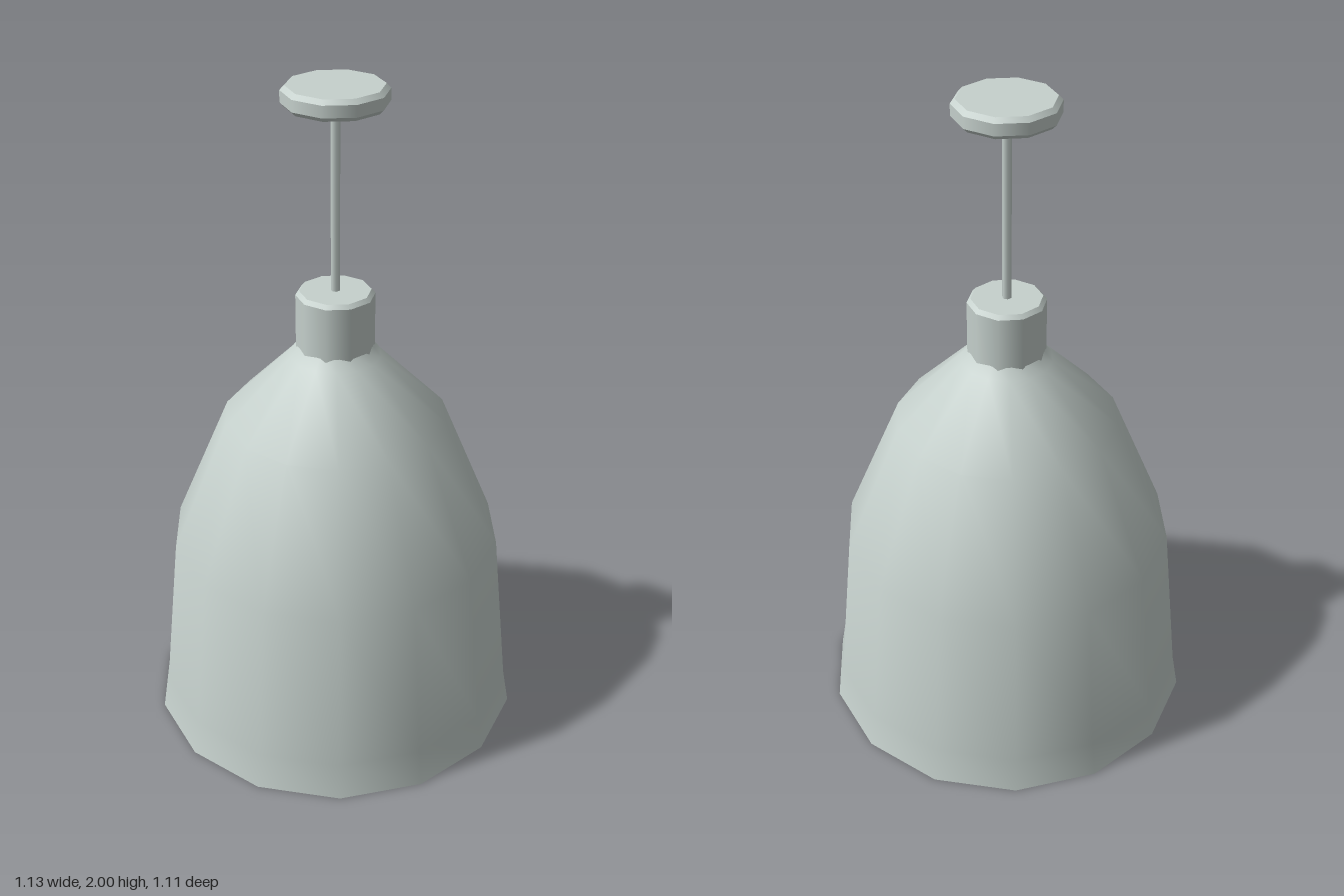
import * as THREE from 'three';

export function createModel() {
  const model = new THREE.Group();
  const metal = new THREE.MeshStandardMaterial({ color: 0xc6d1cd, side: THREE.DoubleSide });
  metal.name = 'paleGreyMetal';
  const bulbGlass = new THREE.MeshStandardMaterial({ color: 0xe0b090 });
  bulbGlass.name = 'warmBulb';

  // Revolve a bottom-to-top [radius, y] profile, with a corner on the x axis
  const lathe = (profile, sides) => new THREE.LatheGeometry(
    profile.map(([r, y]) => new THREE.Vector2(r, y)), sides, Math.PI / 2);

  const add = (parent, name, geometry, material = metal) => {
    const mesh = new THREE.Mesh(geometry, material);
    mesh.name = name;
    parent.add(mesh);
  };

  // Each profile segment becomes its own band, so the rims stay sharp
  const addBanded = (name, profile, sides, material = metal) => {
    const group = new THREE.Group();
    group.name = name;
    for (let i = 0; i < profile.length - 1; i++) {
      add(group, `${name}Band${i + 1}`, lathe([profile[i], profile[i + 1]], sides), material);
    }
    model.add(group);
  };

  // Open bell shade
  add(model, 'shade', lathe([
    [0.567, 0], [0.548, 0.11], [0.5, 0.6], [0.333, 1.0], [0.135, 1.2], [0.111, 1.232],
  ], 14));

  // Neck collar, hanging rod and ceiling plate
  addBanded('neck', [[0, 1.2], [0.115, 1.2], [0.115, 1.388], [0.104, 1.4], [0, 1.4]], 10);
  add(model, 'rod', lathe([[0.014, 1.39], [0.014, 1.95]], 6));
  addBanded('ceilingPlate', [
    [0, 1.94], [0.137, 1.94], [0.15, 1.953], [0.15, 1.987], [0.137, 2], [0, 2],
  ], 10);

  // Bulb and its holder inside the shade
  add(model, 'bulb', lathe([
    [0, 0.315], [0.075, 0.336], [0.126, 0.39], [0.145, 0.465],
    [0.126, 0.55], [0.083, 0.66], [0.06, 0.76],
  ], 14), bulbGlass);
  addBanded('bulbHolder', [[0, 0.75], [0.075, 0.75], [0.075, 1.21]], 10, bulbGlass);

  return model;
}
